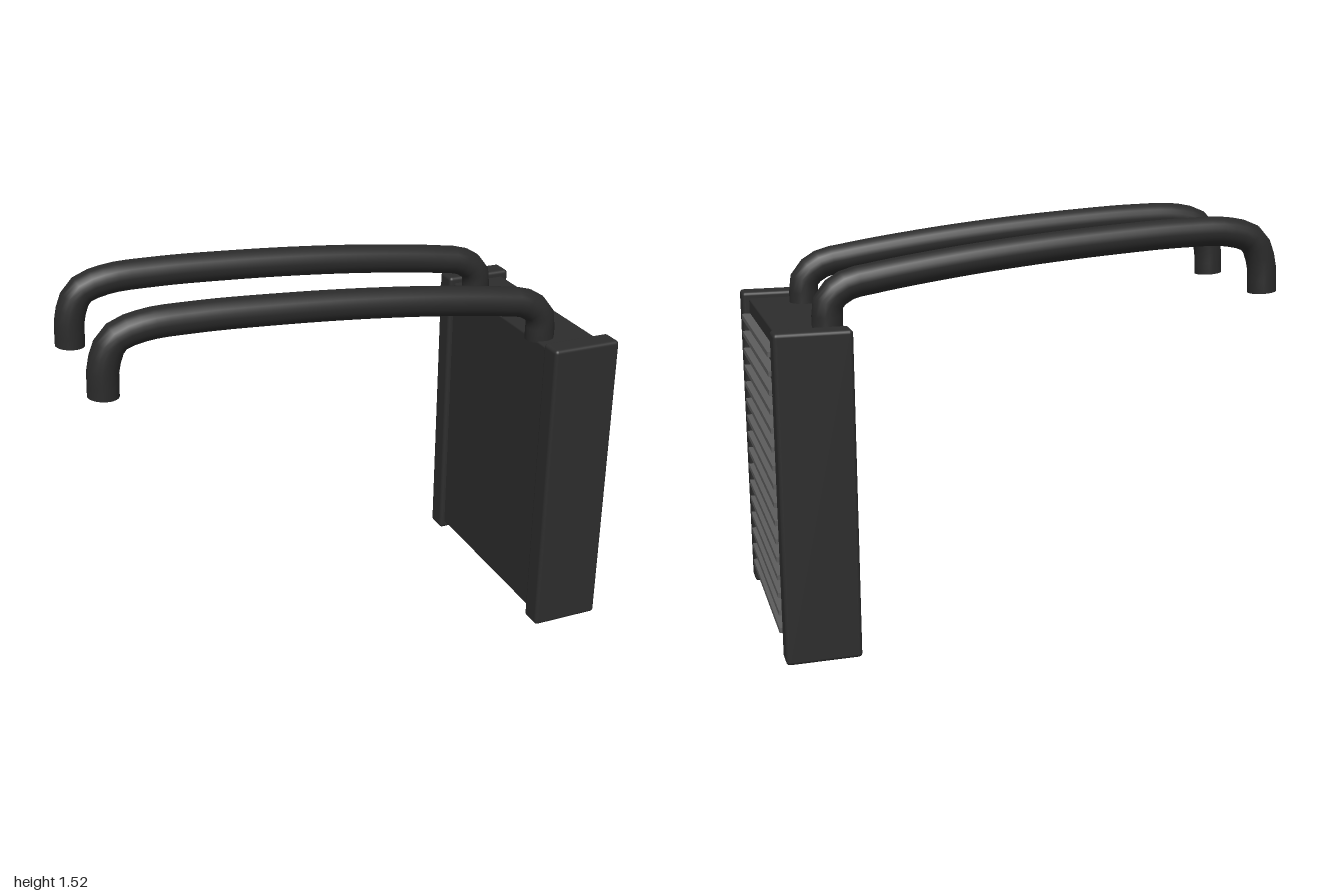
import * as THREE from 'three';
import { RoundedBoxGeometry } from 'three/addons/geometries/RoundedBoxGeometry.js';

export function createModel() {
  const group = new THREE.Group();
  const material = (name, color) => {
    const m = new THREE.MeshStandardMaterial({ color });
    m.name = name;
    return m;
  };
  const casing = material('casing black', 0x2d2d2d);
  const rubber = material('hose rubber', 0x2a2a2a);
  const metal = material('fin grey', 0x5c5c5c);

  const add = (name, geometry, mat, x = 0, y = 0, z = 0) => {
    const mesh = new THREE.Mesh(geometry, mat);
    mesh.name = name;
    mesh.position.set(x, y, z);
    group.add(mesh);
    return mesh;
  };

  // Core block
  add('core', new RoundedBoxGeometry(0.23, 1.155, 0.79, 2, 0.008), casing, 0.85, 0.607, 0);

  // Horizontal fins on the outer face
  const finGeometry = new THREE.BoxGeometry(0.04, 0.019, 0.745);
  for (let i = 0; i < 16; i++) {
    add('fin', finGeometry, metal, 0.978, 0.096 + i * 0.0682, 0);
  }

  const tankGeometry = new RoundedBoxGeometry(0.276, 1.21, 0.092, 3, 0.014);
  for (const side of [1, -1]) {
    // End tanks
    add('endTank', tankGeometry, casing, 0.853, 0.605, side * 0.433);

    // Hoses, spreading slightly towards the core
    const points = [
      [-0.94, 1.222], [-0.931, 1.34], [-0.89, 1.425], [-0.79, 1.459], [-0.6, 1.463],
      [-0.3, 1.448], [0, 1.425], [0.3, 1.393], [0.6, 1.35], [0.7, 1.328],
      [0.762, 1.275], [0.768, 1.18],
    ].map(([x, y]) => new THREE.Vector3(x, y, side * (0.256 + x * 0.009)));
    const curve = new THREE.CatmullRomCurve3(points);
    add('hose', new THREE.TubeGeometry(curve, 44, 0.056, 20), rubber);

    // Closed face of the free hose end
    const cap = add('hoseEnd', new THREE.CircleGeometry(0.056, 20), rubber);
    cap.position.copy(points[0]);
    cap.lookAt(points[0].clone().sub(curve.getTangentAt(0)));
  }
  return group;
}
